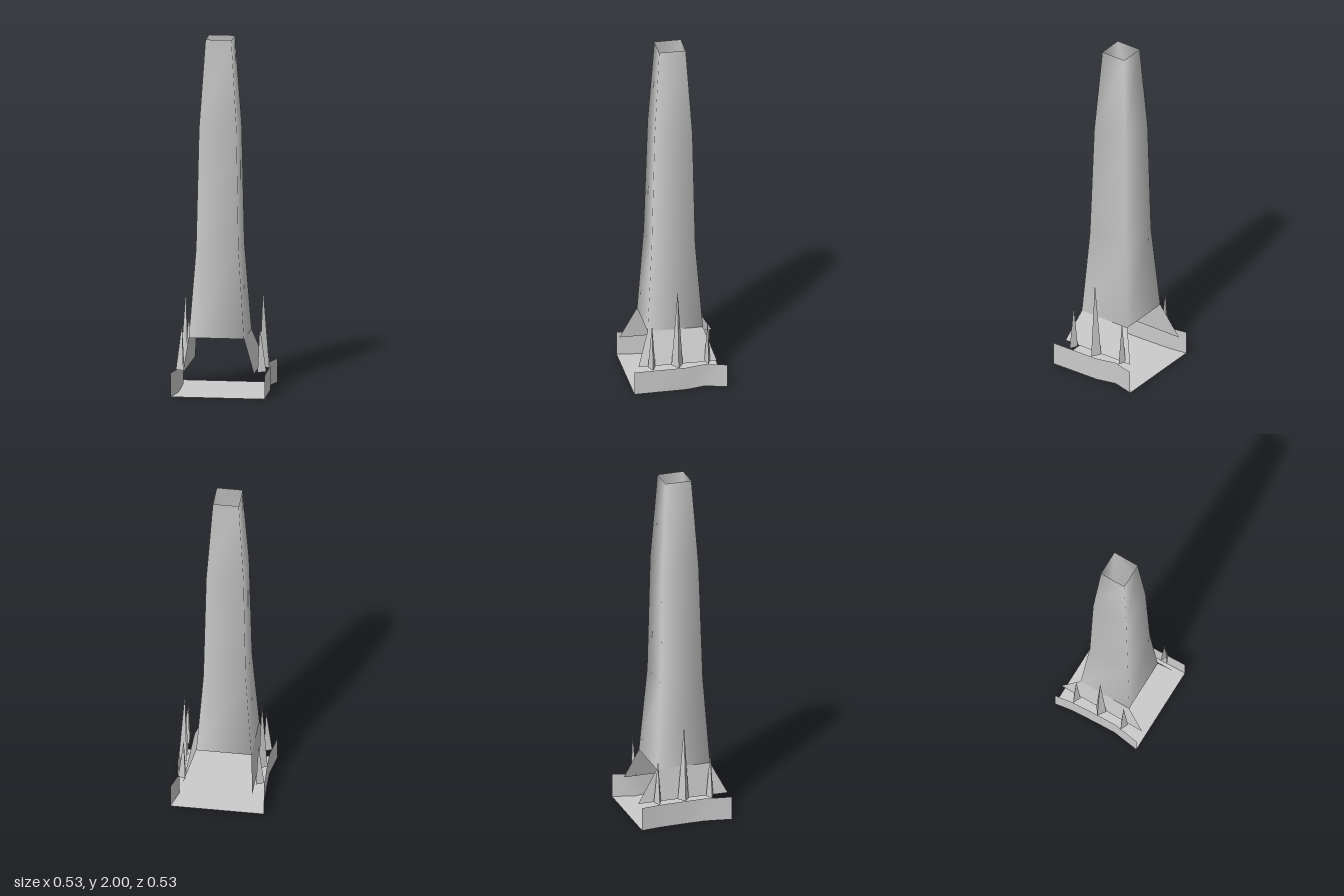
import * as THREE from 'three';

const material = new THREE.MeshStandardMaterial({ color: 0xcccccc, side: THREE.DoubleSide });

function makeMesh(name, points, index) {
  const geo = new THREE.BufferGeometry();
  geo.setAttribute('position', new THREE.Float32BufferAttribute(points.flat(), 3));
  geo.setIndex(index);
  geo.computeVertexNormals();
  const mesh = new THREE.Mesh(geo, material);
  mesh.name = name;
  return mesh;
}

// Joins rows of points (each running the same way) into a sheet; closed rows wrap round
function loft(name, rows, closed = false) {
  const n = rows[0].length, index = [];
  for (let r = 0; r < rows.length - 1; r++) {
    for (let i = 0; i < (closed ? n : n - 1); i++) {
      const a = r * n + i, b = r * n + (i + 1) % n;
      index.push(a, b, b + n, a, b + n, a + n);
    }
  }
  return makeMesh(name, rows.flat(), index);
}

// Thorn of two outward faces meeting at a ridge, open towards the shaft
function spike(name, outerX, innerX, tipX, z, halfWidth, tipY) {
  const y = 0.135, s = Math.sign(outerX);
  const pts = [[innerX, y, z + s * halfWidth], [outerX, y, z], [tipX, tipY, z],
    [outerX, y, z], [innerX, y, z - s * halfWidth], [tipX, tipY, z]];
  return makeMesh(name, pts, [0, 1, 2, 3, 4, 5]);
}

export function createModel() {
  const model = new THREE.Group();

  // Tapering square shaft, open at both ends: y, x min, x max, z min, z max
  const sections = [
    [0.32, -0.176, 0.135, -0.15, 0.165],
    [0.82, -0.139, 0.1, -0.113, 0.135],
    [1.5, -0.125, 0.086, -0.1, 0.115],
    [2, -0.093, 0.053, -0.068, 0.083],
  ];
  model.add(loft('shaft', sections.map(([y, x0, x1, z0, z1]) =>
    [[x0, y, z1], [x1, y, z1], [x1, y, z0], [x0, y, z0]]), true));

  // Flared skirts under the two sides of the shaft
  model.add(loft('leftSkirt', [
    [[0.2, 0.135, 0.23], [0.2, 0.135, -0.217]],
    [[0.135, 0.32, 0.165], [0.135, 0.32, -0.15]],
  ]));
  model.add(loft('rightSkirt', [
    [[-0.197, 0.135, -0.265], [-0.197, 0.135, 0.262]],
    [[-0.176, 0.32, -0.15], [-0.176, 0.32, 0.165]],
  ]));

  // Floor slab with uneven sides, and the low walls that follow them (x, z)
  const leftEdge = [[0.265, 0.265], [0.262, 0.15], [0.258, -0.03], [0.232, -0.14], [0.265, -0.265]];
  const rightEdge = [[-0.265, -0.265], [-0.25, -0.16], [-0.243, 0], [-0.241, 0.11], [-0.265, 0.265]];
  const at = (edge, y) => edge.map(([x, z]) => [x, y, z]);
  model.add(loft('leftWall', [at(leftEdge, 0), at(leftEdge, 0.135)]));
  model.add(loft('rightWall', [at(rightEdge, 0), at(rightEdge, 0.135)]));
  model.add(loft('floor', [at(leftEdge, 0), at(rightEdge, 0).reverse()]));

  // Three spikes along each wall
  const spikes = [
    ['leftFrontSpike', 0.26, 0.213, 0.223, 0.157, 0.021, 0.4],
    ['leftMiddleSpike', 0.257, 0.207, 0.222, 0.011, 0.032, 0.59],
    ['leftBackSpike', 0.235, 0.192, 0.204, -0.163, 0.017, 0.385],
    ['rightFrontSpike', -0.25, -0.205, -0.216, 0.153, 0.021, 0.4],
    ['rightMiddleSpike', -0.246, -0.2, -0.214, -0.001, 0.032, 0.575],
    ['rightBackSpike', -0.25, -0.205, -0.217, -0.155, 0.021, 0.39],
  ];
  for (const s of spikes) model.add(spike(...s));

  return model;
}
